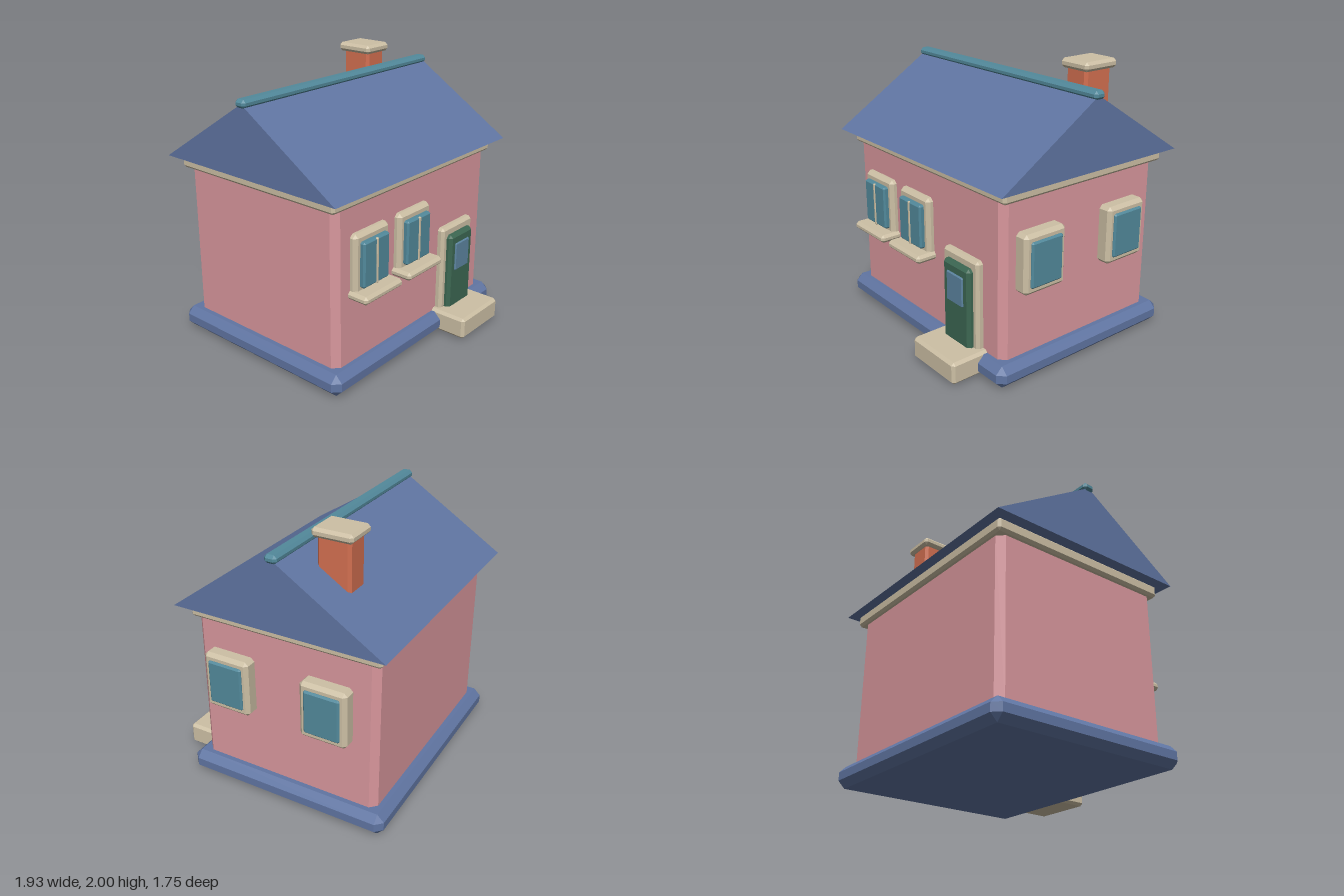
import * as THREE from 'three';
import { ConvexGeometry } from 'three/addons/geometries/ConvexGeometry.js';

const material = (name, color) => {
  const m = new THREE.MeshStandardMaterial({ color });
  m.name = name;
  return m;
};

// Box with chamfered edges and corners, given by its extents
function bevelBox(x0, x1, y0, y1, z0, z1, c) {
  const [hx, hy, hz] = [(x1 - x0) / 2, (y1 - y0) / 2, (z1 - z0) / 2];
  const points = [];
  for (const sx of [-1, 1]) for (const sy of [-1, 1]) for (const sz of [-1, 1]) {
    points.push(
      new THREE.Vector3(sx * hx, sy * (hy - c), sz * (hz - c)),
      new THREE.Vector3(sx * (hx - c), sy * hy, sz * (hz - c)),
      new THREE.Vector3(sx * (hx - c), sy * (hy - c), sz * hz));
  }
  return new ConvexGeometry(points).translate((x0 + x1) / 2, (y0 + y1) / 2, (z0 + z1) / 2);
}

export function createModel() {
  const house = new THREE.Group();
  house.name = 'house';

  const pink = material('wall pink', 0xd9979d);
  const cream = material('trim cream', 0xcdc0a5);
  const blue = material('roof blue', 0x6075a2);
  const teal = material('glass teal', 0x52899b);
  const paleBlue = material('door glass blue', 0x5c84a0);
  const green = material('door green', 0x3c6752);
  const brick = material('brick orange', 0xd47051);

  const add = (name, geometry, mat, parent = house) => {
    const mesh = new THREE.Mesh(geometry, mat);
    mesh.name = name;
    parent.add(mesh);
    return mesh;
  };
  const group = (name) => {
    const g = new THREE.Group();
    g.name = name;
    house.add(g);
    return g;
  };

  // Main body
  add('foundation', bevelBox(-0.926, 0.926, 0, 0.16, -0.865, 0.672, 0.05), blue);
  add('walls', bevelBox(-0.841, 0.841, 0.06, 1.345, -0.78, 0.592, 0.047), pink);
  add('cornice', bevelBox(-0.878, 0.878, 1.265, 1.357, -0.815, 0.61, 0.018), cream);

  // Gabled roof: triangular section run along x
  const gable = new THREE.Shape([
    new THREE.Vector2(-0.688, 1.355),
    new THREE.Vector2(0.876, 1.355),
    new THREE.Vector2(0.094, 1.853),
  ]);
  const roof = new THREE.ExtrudeGeometry(gable, { depth: 1.892, bevelEnabled: false });
  roof.translate(0, 0, -0.946).rotateY(Math.PI / 2);
  add('roof', roof, blue);
  add('ridgeCap', bevelBox(-0.963, 0.963, 1.825, 1.885, -0.141, -0.051, 0.02), teal);

  // Chimney
  const chimney = group('chimney');
  add('chimneyStack', bevelBox(0.482, 0.674, 1.42, 1.96, -0.488, -0.25, 0.02), brick, chimney);
  add('chimneyCap', bevelBox(0.452, 0.704, 1.935, 2, -0.516, -0.223, 0.02), cream, chimney);

  // Front windows with mullion and sill
  for (const x of [-0.529, -0.074]) {
    const w = group('frontWindow');
    add('windowFrame', bevelBox(x - 0.175, x + 0.175, 0.65, 1.085, 0.54, 0.64, 0.025), cream, w);
    add('windowGlass', bevelBox(x - 0.13, x + 0.13, 0.71, 1.032, 0.6, 0.676, 0.012), teal, w);
    add('windowMullion', bevelBox(x - 0.01, x + 0.01, 0.71, 1.03, 0.62, 0.682, 0.004), cream, w);
    add('windowSill', bevelBox(x - 0.194, x + 0.194, 0.633, 0.693, 0.56, 0.745, 0.02), cream, w);
  }

  // Windows on the left wall
  for (const z of [0.31, -0.433]) {
    const w = group('sideWindow');
    add('windowFrame', bevelBox(0.79, 0.938, 0.633, 1.052, z - 0.174, z + 0.174, 0.025), cream, w);
    add('windowGlass', bevelBox(0.87, 0.954, 0.682, 1.003, z - 0.132, z + 0.132, 0.012), teal, w);
  }

  // Door and step
  const door = group('door');
  add('doorFrame', bevelBox(0.27, 0.645, 0.12, 0.812, 0.54, 0.64, 0.02), cream, door);
  add('doorPanel', bevelBox(0.317, 0.6, 0.13, 0.752, 0.58, 0.68, 0.022), green, door);
  add('doorGlass', bevelBox(0.371, 0.545, 0.464, 0.682, 0.66, 0.69, 0.008), paleBlue, door);
  add('doorStep', bevelBox(0.227, 0.688, 0.016, 0.178, 0.56, 0.876, 0.02), cream, door);

  return house;
}
